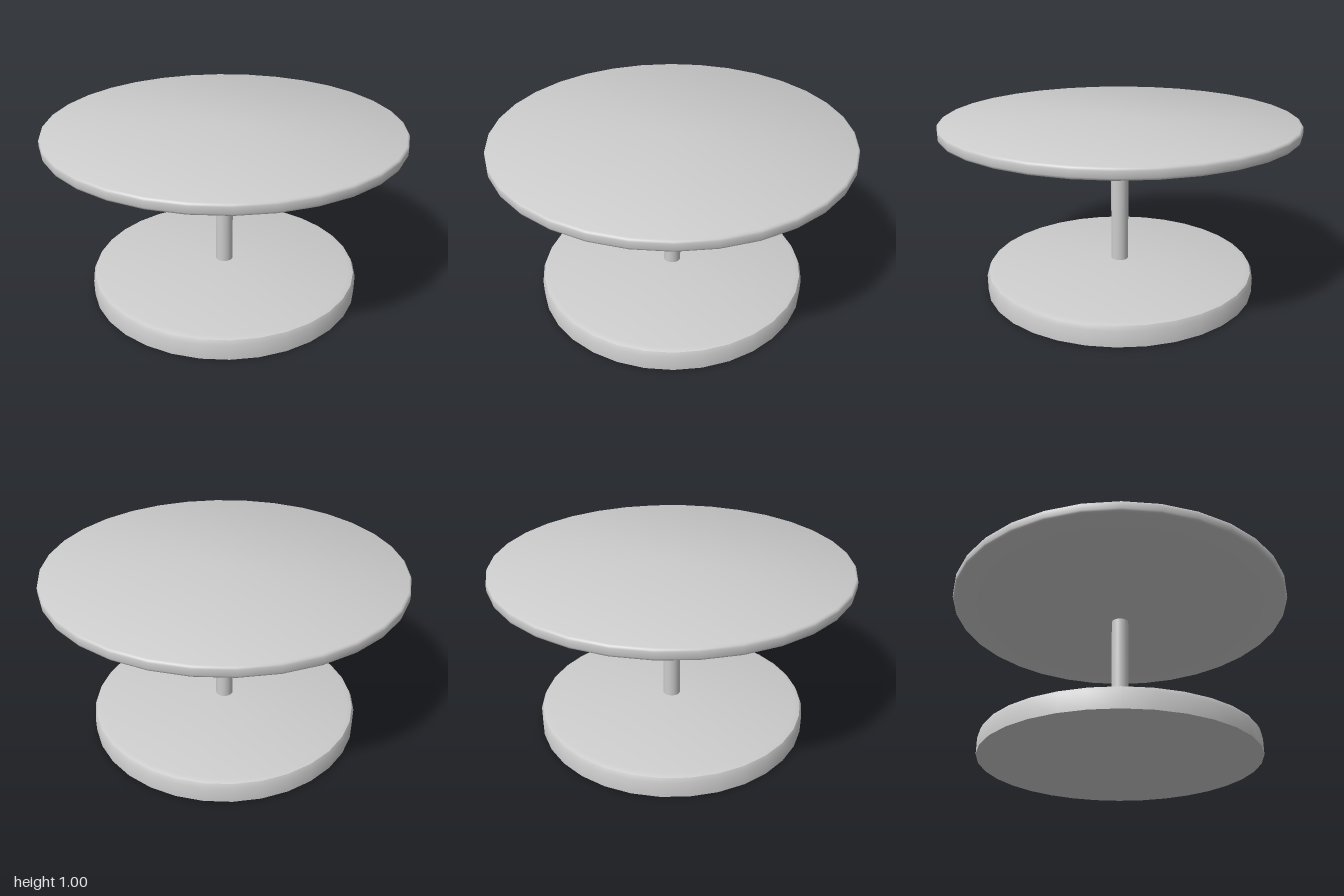
import * as THREE from 'three';
import { toCreasedNormals } from 'three/addons/utils/BufferGeometryUtils.js';

const SEGMENTS = 32;

// Turned part from a [radius, height] profile, listed bottom to top
function turned(name, profile, crease, material) {
  const points = profile.map(([r, y]) => new THREE.Vector2(r, y));
  const geometry = toCreasedNormals(new THREE.LatheGeometry(points, SEGMENTS), crease);
  const mesh = new THREE.Mesh(geometry, material);
  mesh.name = name;
  return mesh;
}

export function createModel() {
  const model = new THREE.Group();
  model.name = 'pedestalTable';
  const material = new THREE.MeshStandardMaterial({ color: 0xcccccc });

  // Heavy round foot with a bevelled rim and a gently sloping top
  model.add(turned('base', [
    [0, 0], [0.785, 0], [0.785, 0.09], [0.773, 0.115], [0.745, 0.125], [0.05, 0.147], [0, 0.147],
  ], 0.6, material));

  // Slim central column
  const column = new THREE.Mesh(
    new THREE.CylinderGeometry(0.05, 0.05, 0.77, SEGMENTS, 1, true), material);
  column.name = 'column';
  column.position.y = 0.525;
  model.add(column);

  // Round top with softened edges and a shallow cone underneath
  model.add(turned('tableTop', [
    [0, 0.893], [0.04, 0.893], [0.38, 0.938], [0.985, 0.938], [0.996, 0.943], [1, 0.953],
    [1, 0.985], [0.997, 0.995], [0.988, 1], [0, 1],
  ], 0.8, material));

  return model;
}
